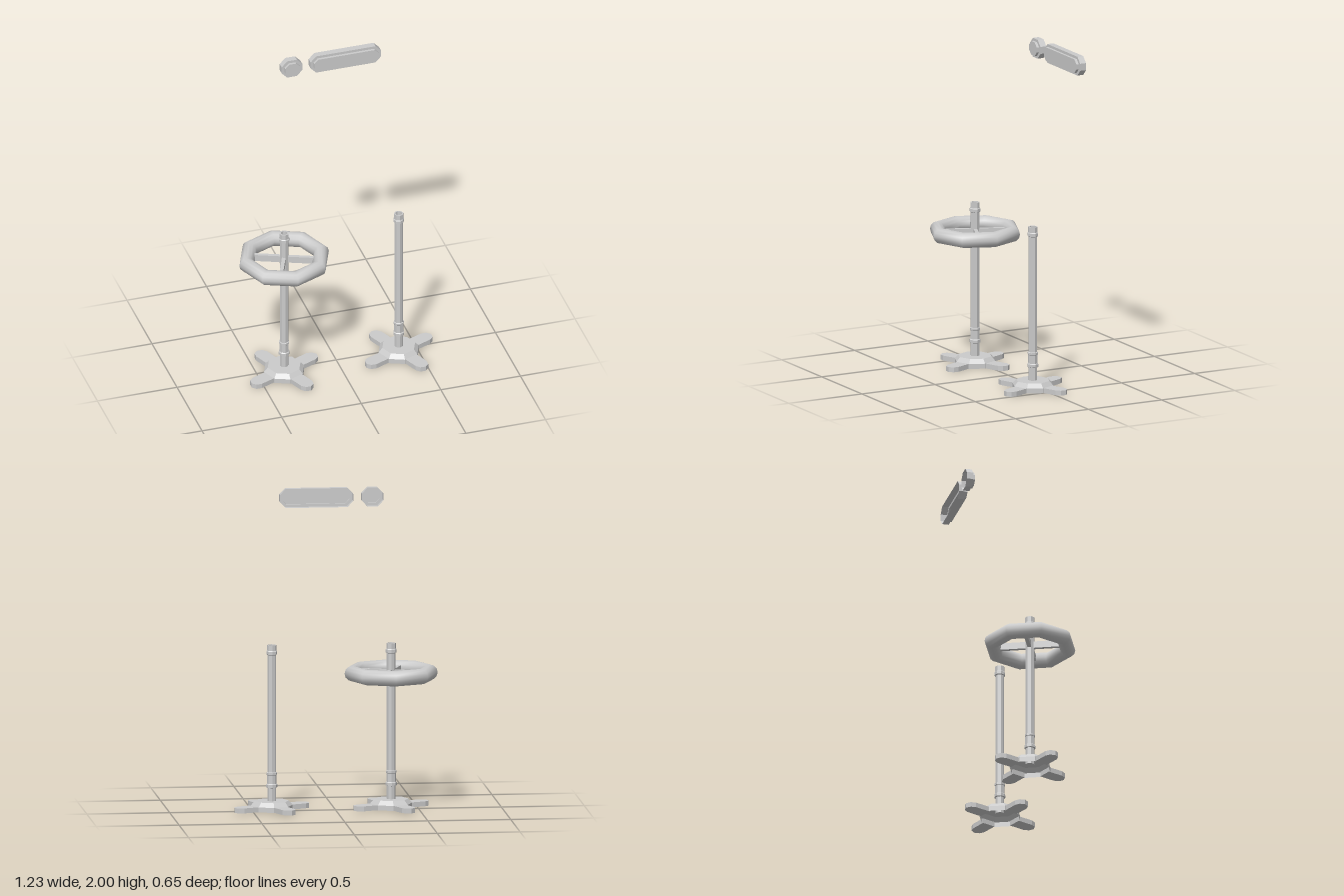
import * as THREE from 'three';

const flat = new THREE.MeshStandardMaterial({ color: 0xcccccc, flatShading: true, side: THREE.DoubleSide });
const smooth = new THREE.MeshStandardMaterial({ color: 0xcccccc });

function add(parent, name, geometry, material = flat) {
  const mesh = new THREE.Mesh(geometry, material);
  mesh.name = name;
  parent.add(mesh);
  return mesh;
}

// Eight-sided turned part from [radius, height] pairs
const turned = (profile) =>
  new THREE.LatheGeometry(profile.map(([r, y]) => new THREE.Vector2(r, y)), 8);

// Flat foot with a faceted round tip, pointing along +x
function footGeometry() {
  const shape = new THREE.Shape([
    [0.11, -0.043], [0.21, -0.043], [0.24, -0.03], [0.253, 0],
    [0.24, 0.03], [0.21, 0.043], [0.11, 0.043],
  ].map(([x, y]) => new THREE.Vector2(x, y)));
  return new THREE.ExtrudeGeometry(shape, { depth: 0.03, bevelEnabled: false }).rotateX(-Math.PI / 2);
}

function createStand(name, x) {
  const stand = new THREE.Group();
  stand.name = name;
  stand.position.set(x, 0, 0.04);

  // Hollow hub, open underneath
  add(stand, 'baseHub', turned([[0.126, 0], [0.126, 0.03], [0.103, 0.056], [0, 0.056]]));
  const foot = footGeometry();
  for (let i = 0; i < 4; i++) {
    add(stand, 'foot', foot).rotation.y = Math.PI / 8 + i * Math.PI / 2;
  }

  // Post with collars and a hollow top
  add(stand, 'post', turned([
    [0, 0.03], [0.027, 0.03], [0.027, 0.135], [0.034, 0.138], [0.034, 0.155], [0.029, 0.16],
    [0.029, 0.212], [0.032, 0.215], [0.032, 0.227], [0.027, 0.23], [0.027, 0.94],
    [0.033, 0.944], [0.033, 0.962], [0.029, 0.967], [0.029, 1], [0.021, 1], [0.021, 0.96], [0, 0.96],
  ]));
  return stand;
}

function createWheel() {
  const wheel = new THREE.Group();
  wheel.name = 'handWheel';
  wheel.position.set(-0.34, 0.818, 0.04);
  add(wheel, 'rim', new THREE.TorusGeometry(0.234, 0.047, 12, 8).rotateX(Math.PI / 2), smooth);
  const spoke = new THREE.BoxGeometry(0.175, 0.042, 0.022).translate(0.1, 0, 0);
  for (let i = 0; i < 4; i++) {
    add(wheel, 'spoke', spoke).rotation.y = -Math.PI / 8 + i * Math.PI / 2;
  }
  return wheel;
}

// Eight-cornered outline with chamfered ends
function outline(halfWidth, halfHeight) {
  const corner = halfHeight * 0.6, side = halfHeight * 0.37;
  const quarter = [[halfWidth, side], [halfWidth - corner, halfHeight]];
  const half = [...quarter, ...quarter.map(([x, y]) => [-x, y]).reverse()];
  return [...half, ...half.map(([x, y]) => [-x, -y])];
}

// Stepped thin tray, open at the back
function trayGeometry(halfWidth) {
  const sections = [
    [halfWidth, 0.058, -0.328], [halfWidth, 0.058, -0.288],
    [halfWidth - 0.018, 0.042, -0.288], [halfWidth - 0.018, 0.042, -0.272],
  ];
  const positions = [], index = [];
  sections.forEach(([w, h, z]) => outline(w, h).forEach(([x, y]) => positions.push(x, y, z)));
  for (let s = 0; s < 3; s++) {
    for (let i = 0; i < 8; i++) {
      const a = s * 8 + i, b = s * 8 + (i + 1) % 8;
      index.push(a, b, b + 8, a, b + 8, a + 8);
    }
  }
  for (let i = 1; i < 7; i++) index.push(24, 24 + i, 25 + i);
  const geometry = new THREE.BufferGeometry();
  geometry.setAttribute('position', new THREE.Float32BufferAttribute(positions, 3));
  geometry.setIndex(index);
  geometry.computeVertexNormals();
  return geometry;
}

export function createModel() {
  const model = new THREE.Group();
  model.name = 'standsAndLamps';
  model.add(createStand('wheelStand', -0.34), createStand('plainStand', 0.38), createWheel());

  // Floating round and long trays
  add(model, 'roundTray', trayGeometry(0.065)).position.set(-0.187, 1.942, 0);
  add(model, 'longTray', trayGeometry(0.221)).position.set(0.151, 1.942, 0);
  return model;
}
